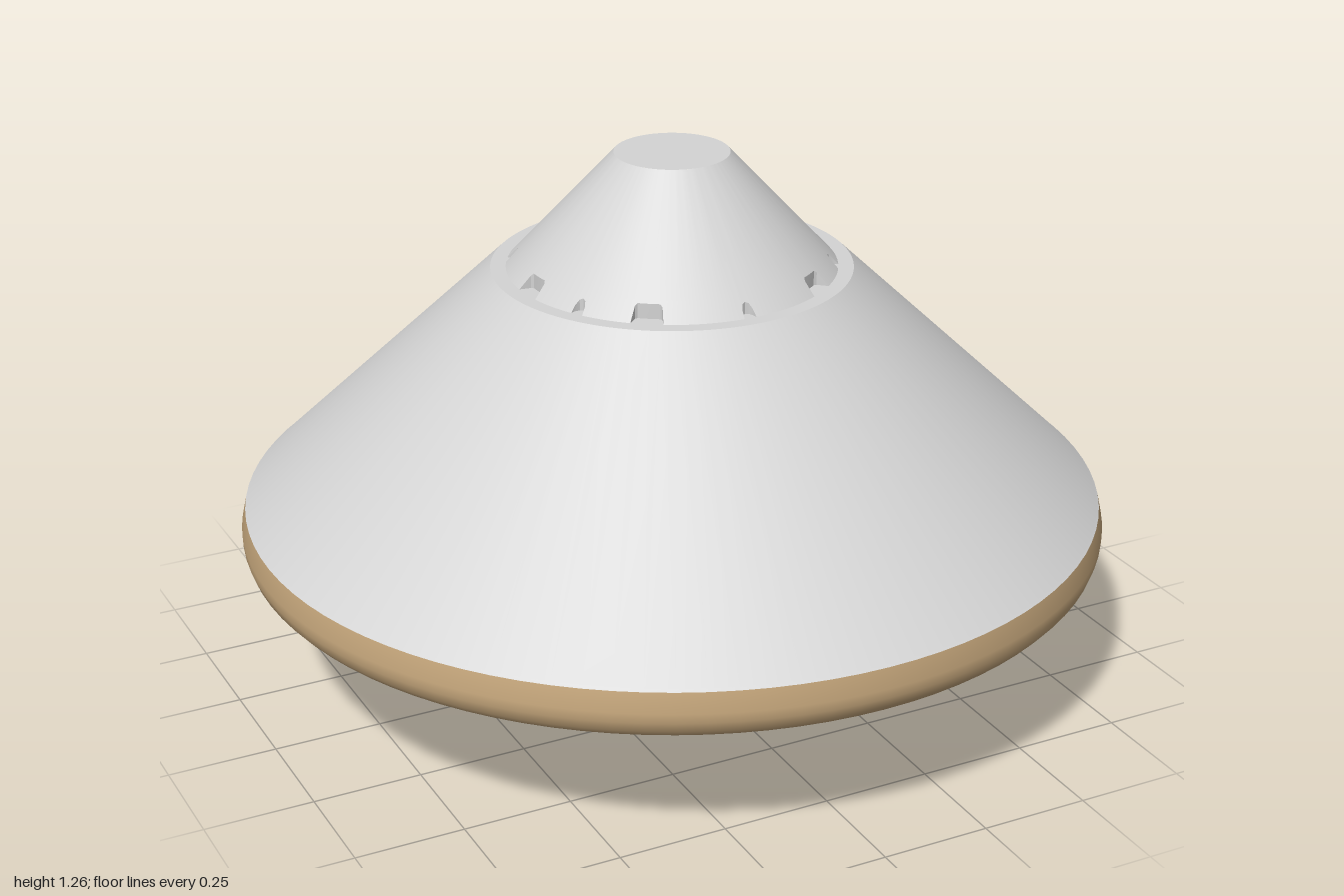
import * as THREE from 'three';
import { toCreasedNormals } from 'three/addons/utils/BufferGeometryUtils.js';

const BASE_R = 0.375, SLOPE = 0.925; // nose cone foot radius, radius lost per unit of height

function lathe(points, material, name) {
  const profile = points.map(([r, y]) => new THREE.Vector2(r, y));
  const geometry = toCreasedNormals(new THREE.LatheGeometry(profile, 96).toNonIndexed(), 0.5);
  const mesh = new THREE.Mesh(geometry, material);
  mesh.name = name;
  return mesh;
}

// Columns [angle in degrees, notch depth] around the foot of the nose cone
function noseColumns() {
  const columns = [];
  for (let a = 0; a <= 360; a += 3) columns.push([a, 0]);
  const notches = [];
  for (const a of [35, 85, 154]) notches.push([a, 5.5, true], [360 - a, 5.5, true]);
  for (let a = 0; a <= 360; a += 60) notches.push([a, 2.2, false]);

  let result = columns;
  for (const [center, half, wide] of notches) {
    result = result.filter(([a]) => Math.abs(a - center) > half + 0.05);
    const shape = wide
      ? [[-1, 0], [-0.9, 0.027], [-0.75, 0.032], [0, 0.032], [0.75, 0.032], [0.9, 0.027], [1, 0]]
      : [[-1, 0], [-0.9, 0.013], [-0.55, 0.023], [0, 0.026], [0.55, 0.023], [0.9, 0.013], [1, 0]];
    for (const [t, d] of shape) {
      const a = center + t * half;
      if (a >= 0 && a <= 360) result.push([a, d]);
    }
  }
  return result.sort((p, q) => p[0] - q[0]);
}

// Cone whose foot is cut back vertically at each notch
function noseGeometry() {
  const positions = [];
  const ring = ([a, d]) => {
    const t = THREE.MathUtils.degToRad(a);
    const at = (r, y) => new THREE.Vector3(r * Math.sin(t), y, r * Math.cos(t));
    return [at(BASE_R - d, 1), at(BASE_R - d, 1 + d / SLOPE), at(BASE_R - 0.04 * SLOPE, 1.04), at(0.13, 1.265)];
  };
  const triangle = new THREE.Triangle();
  const add = (a, b, c) => {
    if (triangle.set(a, b, c).getArea() < 1e-8) return;
    for (const p of [a, b, c]) positions.push(p.x, p.y, p.z);
  };
  const rings = noseColumns().map(ring);
  for (let i = 0; i < rings.length - 1; i++) {
    const p = rings[i], q = rings[i + 1];
    for (let j = 0; j < 3; j++) {
      add(p[j], q[j], q[j + 1]);
      add(p[j], q[j + 1], p[j + 1]);
    }
  }
  const geometry = new THREE.BufferGeometry();
  geometry.setAttribute('position', new THREE.Float32BufferAttribute(positions, 3));
  return toCreasedNormals(geometry, 0.5);
}

export function createModel() {
  const shell = new THREE.MeshStandardMaterial({ color: 0xd4d4d4 });
  shell.name = 'lightGrey';
  const shield = new THREE.MeshStandardMaterial({ color: 0xc6a77c });
  shield.name = 'tan';

  const model = new THREE.Group();
  model.name = 'entryCapsule';

  // Blunt heat shield with rounded shoulder
  model.add(lathe([
    [0, 0], [0.06, 0.003], [0.11, 0.011], [0.16, 0.027], [0.2, 0.042],
    [0.955, 0.335], [0.975, 0.344], [0.989, 0.36], [0.997, 0.383], [0.998, 0.405], [0.988, 0.45],
  ], shield, 'heatShield'));

  // Conical back shell and its flat ledge
  model.add(lathe([[0.988, 0.45], [0.982, 0.455], [0.41, 1]], shell, 'backShell'));
  model.add(lathe([[0.41, 1], [0.335, 1]], shell, 'ledge'));

  // Notched nose cone and its flat cap
  const nose = new THREE.Mesh(noseGeometry(), shell);
  nose.name = 'noseCone';
  model.add(nose);
  model.add(lathe([[0.13, 1.265], [0, 1.265]], shell, 'noseCap'));

  return model;
}
